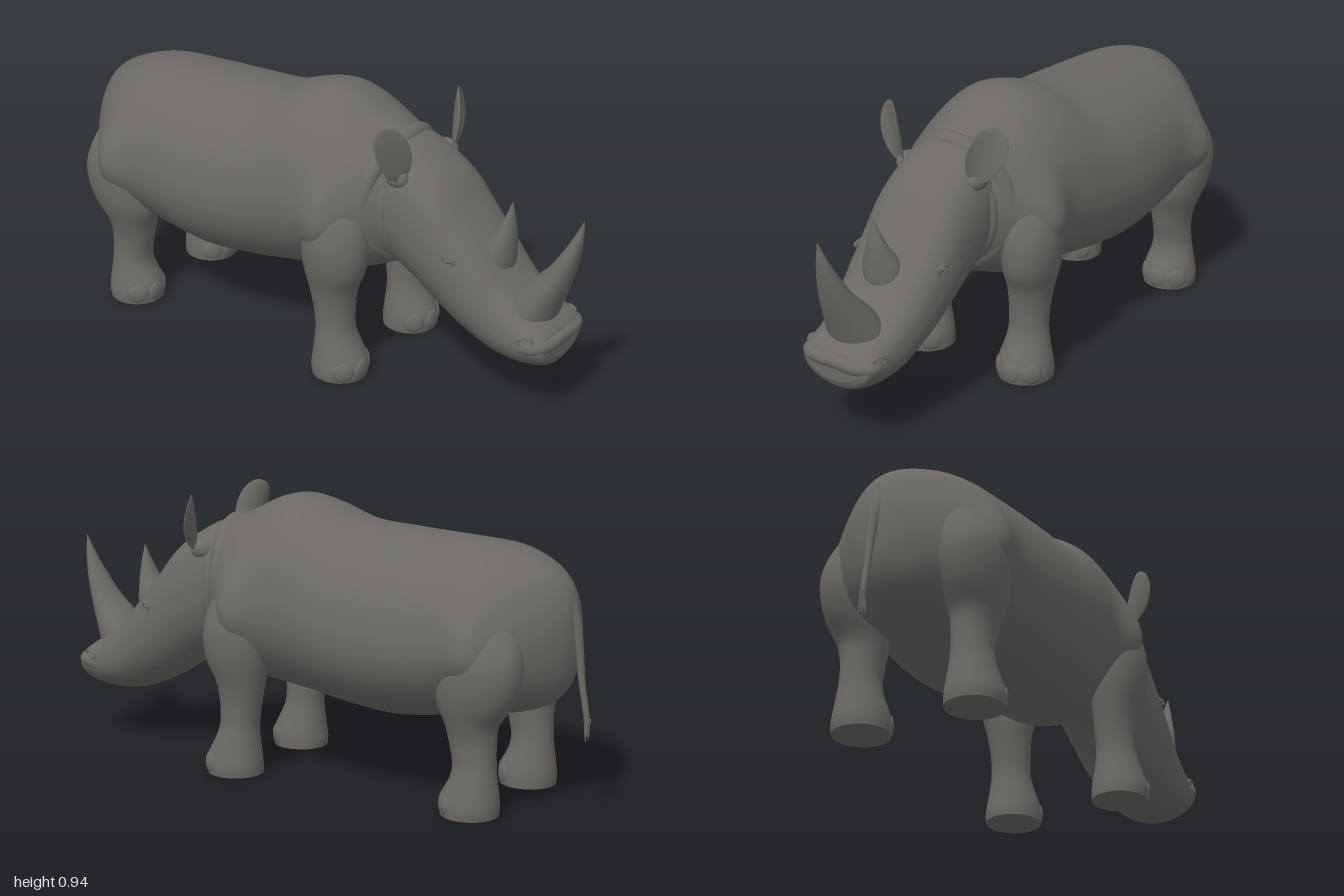
import * as THREE from 'three';

const hide = new THREE.MeshStandardMaterial({ color: 0x6b6864 });
hide.name = 'grey hide';
const V = (x, y, z) => new THREE.Vector3(x, y, z);

// Smoothly resample a short table of section rows
function resample(rows, steps) {
  const out = [], last = rows.length - 1;
  for (let k = 0; k <= last * steps; k++) {
    const i = Math.min(Math.floor(k / steps), last - 1), t = k / steps - i;
    const [a, b, c, d] = [i - 1, i, i + 1, i + 2].map(j => rows[Math.min(Math.max(j, 0), last)]);
    out.push(b.map((v, n) => v + 0.5 * t * (c[n] - a[n] + t * (2 * a[n] - 5 * v + 4 * c[n] - d[n]
      + t * (3 * (v - c[n]) + d[n] - a[n])))));
  }
  return out;
}

// Skin a list of equal rings, close both ends, and face the surface outwards
function skin(rings) {
  const n = rings[0].length, pos = [], idx = [];
  rings.forEach(r => r.forEach(p => pos.push(p.x, p.y, p.z)));
  for (let i = 0; i < rings.length - 1; i++) {
    for (let j = 0; j < n; j++) {
      const a = i * n + j, b = i * n + (j + 1) % n;
      idx.push(a, b, a + n, b, b + n, a + n);
    }
  }
  [rings[0], rings[rings.length - 1]].forEach((ring, end) => {
    const base = pos.length / 3, mid = V(0, 0, 0);
    ring.forEach(p => { pos.push(p.x, p.y, p.z); mid.addScaledVector(p, 1 / n); });
    pos.push(mid.x, mid.y, mid.z);
    for (let j = 0; j < n; j++) {
      const a = base + j, b = base + (j + 1) % n;
      idx.push(...(end ? [a, b, base + n] : [b, a, base + n]));
    }
  });
  const at = i => V(pos[3 * i], pos[3 * i + 1], pos[3 * i + 2]);
  let volume = 0;
  for (let i = 0; i < idx.length; i += 3) volume += at(idx[i]).dot(at(idx[i + 1]).cross(at(idx[i + 2])));
  if (volume < 0) idx.reverse();
  const g = new THREE.BufferGeometry();
  g.setAttribute('position', new THREE.Float32BufferAttribute(pos, 3));
  g.setIndex(idx);
  g.computeVertexNormals();
  return g;
}

function ring(n, point) {
  return Array.from({ length: n }, (_, j) => point(Math.cos(j / n * Math.PI * 2), Math.sin(j / n * Math.PI * 2)));
}
const bend = (v, p) => Math.sign(v) * Math.abs(v) ** p;

// Soft muscle swellings on the flanks: [x, y, spread x, spread y, height]
const muscles = [[-0.72, 0.52, 0.085, 0.15, 0.05], [0.19, 0.54, 0.085, 0.17, 0.06]];
const swell = (x, y) => muscles.reduce((sum, [mx, my, sx, sy, h]) =>
  sum + h * Math.exp(-(((x - mx) / sx) ** 2) - ((y - my) / sy) ** 2), 0);

// Rows along x: [x, top, bottom, half width, height of widest point 0..1]
function trunk(rows, power, bulge) {
  return skin(resample(rows, 8).map(([x, top, bottom, w, f]) => {
    const mid = bottom + (top - bottom) * f;
    return ring(64, (c, s) => {
      const p = s > 0 ? power : 1, y = mid + bend(s, p) * (s > 0 ? top - mid : mid - bottom);
      return V(x, y, (w + bulge(x, y)) * bend(c, p));
    });
  }));
}

// Rows up the leg: [y, centre x, radius x, centre z, radius z]
function limb(rows, side) {
  return skin(resample(rows, 4).map(([y, x, rx, z, rz]) => ring(32, (c, s) => V(x + rx * c, y, side * (z + rz * s)))));
}

// Rows along a bent path in the xy plane: [x, y, radius in plane, radius z]
function sweep(rows, n = 28) {
  const r = resample(rows, 5);
  return skin(r.map(([x, y, ra, rz], i) => {
    const a = r[Math.max(i - 1, 0)], b = r[Math.min(i + 1, r.length - 1)];
    const d = V(b[0] - a[0], b[1] - a[1], 0).normalize();
    return ring(n, (c, s) => V(x - d.y * ra * c, y + d.x * ra * c, rz * s));
  }));
}

export function createModel() {
  const model = new THREE.Group();
  model.name = 'rhinoceros';
  const add = (name, geometry) => {
    const m = new THREE.Mesh(geometry, hide);
    m.name = name;
    model.add(m);
    return m;
  };

  // Barrel body with shoulder hump, haunches and tapered rump
  add('body', trunk([
    [-0.948, 0.61, 0.53, 0.015, 0.5], [-0.93, 0.70, 0.43, 0.075, 0.5], [-0.88, 0.772, 0.355, 0.155, 0.48],
    [-0.80, 0.818, 0.315, 0.235, 0.46], [-0.70, 0.846, 0.295, 0.288, 0.45], [-0.55, 0.855, 0.27, 0.316, 0.45],
    [-0.35, 0.864, 0.245, 0.33, 0.45], [-0.17, 0.878, 0.26, 0.32, 0.45], [-0.04, 0.922, 0.278, 0.305, 0.45],
    [0.06, 0.943, 0.288, 0.288, 0.45], [0.15, 0.924, 0.30, 0.272, 0.46], [0.24, 0.88, 0.335, 0.245, 0.48],
    [0.32, 0.845, 0.37, 0.20, 0.5], [0.38, 0.80, 0.41, 0.15, 0.5],
  ], 1, swell));

  // Long wedge head with a brow
  add('head', trunk([
    [0.28, 0.80, 0.42, 0.17, 0.5], [0.36, 0.83, 0.385, 0.175, 0.5], [0.45, 0.79, 0.335, 0.178, 0.5],
    [0.53, 0.732, 0.28, 0.178, 0.5], [0.60, 0.645, 0.24, 0.175, 0.5], [0.68, 0.55, 0.203, 0.168, 0.5],
    [0.76, 0.455, 0.179, 0.157, 0.5], [0.84, 0.385, 0.176, 0.147, 0.52], [0.90, 0.35, 0.185, 0.14, 0.58],
    [0.935, 0.32, 0.20, 0.13, 0.65], [0.948, 0.29, 0.225, 0.09, 0.6],
  ], 0.78, () => 0));

  // Upper lip wrapped around the snout, its ends sinking into the cheeks
  const lipPath = new THREE.CatmullRomCurve3([
    V(0.78, 0.262, 0.115), V(0.86, 0.274, 0.12), V(0.912, 0.285, 0.12), V(0.932, 0.285, 0.08), V(0.934, 0.287, 0),
    V(0.932, 0.285, -0.08), V(0.912, 0.285, -0.12), V(0.86, 0.274, -0.12), V(0.78, 0.262, -0.115),
  ]);
  add('upperLip', new THREE.TubeGeometry(lipPath, 64, 0.025, 14));

  // Skin folds round the neck, mostly sunk into the body
  [[0.285, 0.335, 0.855, 0.38, 0.192, 0.032], [0.345, 0.375, 0.825, 0.39, 0.163, 0.024]].forEach(
    ([x, xEnd, top, bottom, w, r]) => {
      const pts = ring(16, (c, s) => V(x + (xEnd - x) * s * s, (top + bottom) / 2 + (top - bottom) / 2 * s - r * s, w * c));
      add('neckFold', new THREE.TubeGeometry(new THREE.CatmullRomCurve3(pts, true), 64, r, 14, true));
    });

  // Horns, curving upwards to the tip
  add('frontHorn', sweep([
    [0.835, 0.36, 0.078, 0.102], [0.862, 0.405, 0.068, 0.09], [0.914, 0.487, 0.046, 0.064],
    [0.953, 0.57, 0.03, 0.041], [0.98, 0.645, 0.016, 0.019], [0.996, 0.71, 0.001, 0.001],
  ]));
  add('rearHorn', sweep([
    [0.69, 0.48, 0.056, 0.072], [0.702, 0.533, 0.049, 0.066], [0.719, 0.585, 0.033, 0.044],
    [0.731, 0.645, 0.016, 0.022], [0.737, 0.70, 0.001, 0.001],
  ]));

  // Tail with a small tuft
  add('tail', sweep([
    [-0.90, 0.70, 0.03, 0.035], [-0.935, 0.62, 0.022, 0.025], [-0.955, 0.52, 0.014, 0.015],
    [-0.967, 0.42, 0.011, 0.011], [-0.983, 0.33, 0.01, 0.01], [-0.988, 0.28, 0.006, 0.006],
  ], 12));
  for (let i = 0; i < 6; i++) {
    const strand = add('tailTuft', new THREE.ConeGeometry(0.006, 0.08, 6));
    const a = i / 6 * Math.PI * 2;
    strand.position.set(-0.988 + 0.005 * Math.cos(a), 0.27, 0.009 * Math.sin(a));
    strand.rotation.set(Math.PI - 0.18 * Math.sin(a), 0, 0.06 * Math.cos(a));
  }

  // Leg tops sink into the flanks
  const legs = {
    frontLeg: [
      [0, 0.215, 0.095, 0.207, 0.093], [0.03, 0.217, 0.098, 0.208, 0.095], [0.07, 0.215, 0.092, 0.207, 0.089],
      [0.12, 0.205, 0.077, 0.207, 0.076], [0.17, 0.197, 0.068, 0.206, 0.067], [0.24, 0.192, 0.073, 0.206, 0.067],
      [0.32, 0.19, 0.088, 0.21, 0.075], [0.40, 0.20, 0.112, 0.218, 0.09], [0.50, 0.20, 0.118, 0.215, 0.1],
      [0.60, 0.195, 0.10, 0.19, 0.1], [0.70, 0.185, 0.06, 0.15, 0.07],
    ],
    hindLeg: [
      [0, -0.683, 0.095, 0.207, 0.093], [0.03, -0.683, 0.098, 0.208, 0.095], [0.07, -0.685, 0.093, 0.207, 0.089],
      [0.12, -0.695, 0.077, 0.207, 0.076], [0.17, -0.697, 0.072, 0.206, 0.067], [0.24, -0.69, 0.079, 0.206, 0.068],
      [0.30, -0.688, 0.091, 0.21, 0.078], [0.37, -0.70, 0.128, 0.218, 0.093], [0.45, -0.715, 0.142, 0.217, 0.105],
      [0.53, -0.72, 0.135, 0.21, 0.105], [0.62, -0.715, 0.11, 0.18, 0.09], [0.70, -0.71, 0.06, 0.15, 0.06],
    ],
  };

  for (const side of [1, -1]) {
    const label = side > 0 ? 'left ' : 'right ';

    // Legs, each with three broad toenails
    for (const [name, rows] of Object.entries(legs)) {
      add(label + name, limb(rows, side));
      for (const a of [-0.85, 0, 0.85]) {
        const nail = add(label + name + ' toenail', new THREE.SphereGeometry(1, 16, 10));
        nail.scale.set(0.014, 0.036, 0.037);
        nail.position.set(rows[1][1] + 0.088 * Math.cos(a), 0.037, side * 0.208 + 0.086 * Math.sin(a));
        nail.rotation.y = -a;
      }
    }

    // Cupped leaf ear on a short stalk
    const ear = new THREE.SphereGeometry(1, 28, 20), p = ear.attributes.position;
    for (let i = 0; i < p.count; i++) {
      const u = p.getZ(i), v = p.getY(i), w = p.getX(i);
      p.setXYZ(i, w * 0.009 + 0.02 * u * u - 0.008, v * 0.102, bend(u, 0.9) * 0.06 * (1 + 0.12 * v));
    }
    ear.computeVertexNormals();
    const leaf = add(label + 'ear', ear);
    leaf.position.set(0.404, 0.836, side * 0.187);
    leaf.rotation.set(side * 0.42, side * -0.42, 0, 'YXZ');
    const stalk = add(label + 'earBase', new THREE.SphereGeometry(1, 20, 14));
    stalk.scale.set(0.042, 0.035, 0.03);
    stalk.position.set(0.39, 0.74, side * 0.142);

    // Narrow eye with lids
    const eye = add(label + 'eye', new THREE.SphereGeometry(0.015, 16, 12));
    eye.scale.y = 0.7;
    eye.position.set(0.607, 0.52, side * 0.162);
    const lid = add(label + 'eyelid', new THREE.TorusGeometry(0.022, 0.006, 8, 24));
    lid.scale.y = 0.5;
    lid.position.set(0.607, 0.52, side * 0.168);

    // Nostril rim
    const nostril = add(label + 'nostril', new THREE.TorusGeometry(0.024, 0.007, 8, 24));
    nostril.scale.y = 0.5;
    nostril.position.set(0.885, 0.307, side * 0.136);
    nostril.rotation.set(0, side * 0.25, 0.2);
  }
  return model;
}
